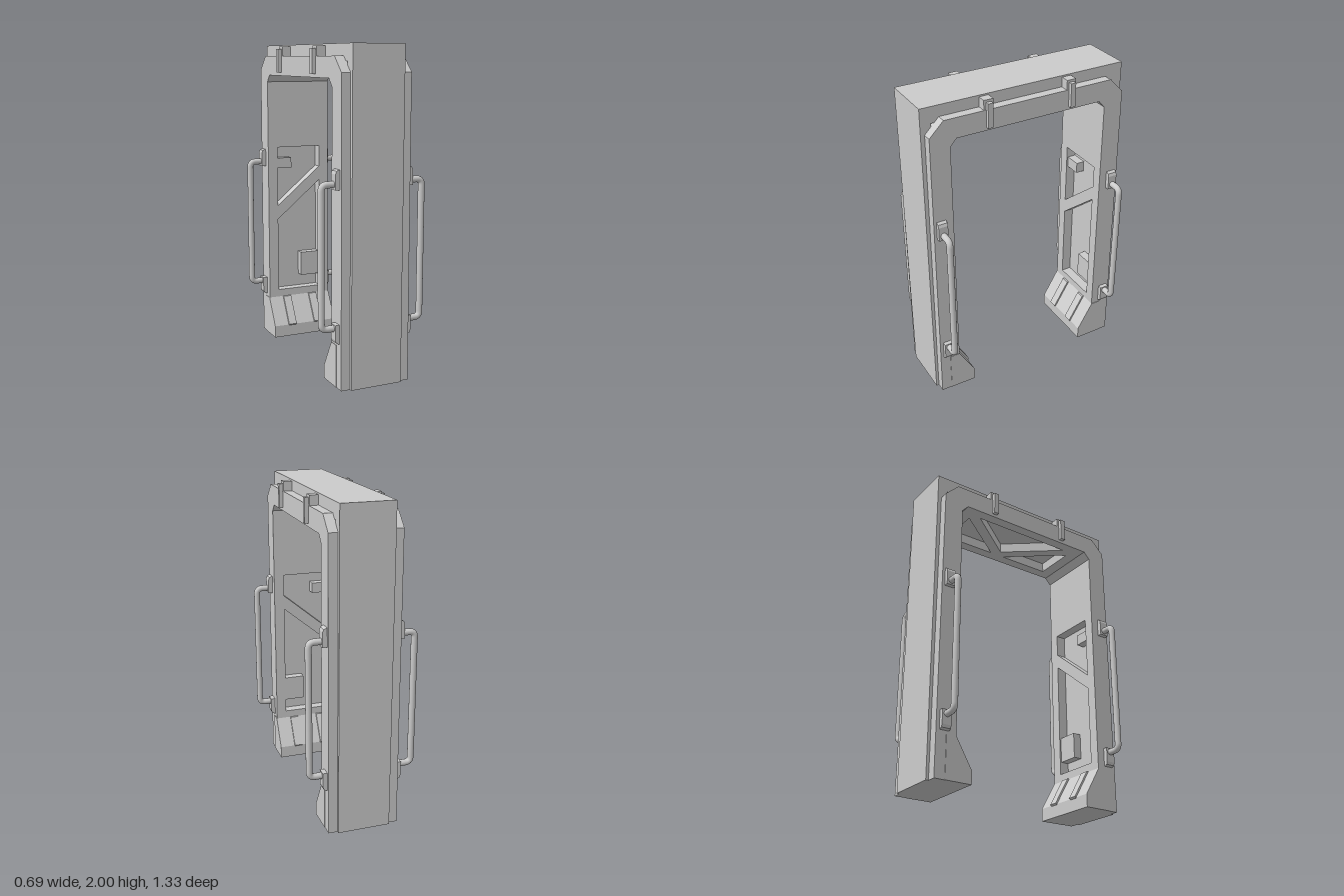
import * as THREE from 'three';

const material = new THREE.MeshStandardMaterial({ color: 0xcccccc });
const HALF = 0.222;   // half width of the wide frame
const DEPTH = 0.065;  // depth of the recesses

const toShape = (pts) => new THREE.Shape(pts.map(([a, b]) => new THREE.Vector2(a, b)));

function extrude(pts, depth, holes = []) {
  const shape = toShape(pts);
  holes.forEach((h) => shape.holes.push(toShape(h)));
  return new THREE.ExtrudeGeometry(shape, { depth, bevelEnabled: false });
}

// Profile given in (z, y), extruded across x and centred
function across(pts, halfWidth) {
  return extrude(pts, halfWidth * 2).translate(0, 0, -halfWidth).rotateY(-Math.PI / 2);
}

// Adds the other half of an arch from its +z half
const mirrored = (half) => [...half, ...half.slice().reverse().map(([z, y]) => [-z, y])];

export function createModel() {
  const model = new THREE.Group();
  model.name = 'doorFrame';

  const add = (name, geometry, x = 0, y = 0, z = 0, parent = model) => {
    const mesh = new THREE.Mesh(geometry, material);
    mesh.name = name;
    mesh.position.set(x, y, z);
    parent.add(mesh);
    return mesh;
  };
  const box = (name, x0, x1, y0, y1, z0, z1) =>
    add(name, new THREE.BoxGeometry(x1 - x0, y1 - y0, z1 - z0), (x0 + x1) / 2, (y0 + y1) / 2, (z0 + z1) / 2);

  // Narrow outer arch and wide inner arch
  add('outerArch', across(mirrored([[0.6, 1.9], [0.6, 0], [0.665, 0], [0.665, 2]]), 0.165));
  add('wideArch', across(mirrored([
    [0.58, 1.87], [0.58, 0], [0.648, 0], [0.64, 1.84], [0.55, 1.93],
  ]), HALF));

  // Ceiling liner with a V of braces between its recesses
  const sideRecess = (s) => [[0.155, 0.05 * s], [0.155, 0.4 * s], [-0.115, 0.4 * s]];
  const ceiling = extrude(
    [[-HALF, -0.475], [HALF, -0.475], [HALF, 0.475], [-HALF, 0.475]], DEPTH,
    [sideRecess(1), sideRecess(-1), [[0.11, 0], [-0.155, 0.34], [-0.155, -0.34]]],
  ).rotateX(Math.PI / 2);
  add('ceilingLiner', ceiling, 0, 1.87, 0);

  // Pillar liner with a diagonal brace
  const liner = extrude(
    [[-HALF, 0], [HALF, 0], [HALF, 1.76], [-HALF, 1.76]], DEPTH,
    [
      [[-0.155, 0.31], [0.155, 0.31], [0.155, 1.075], [-0.155, 0.815]],
      [[-0.155, 0.91], [0.155, 1.17], [0.155, 1.315], [-0.155, 1.315]],
    ],
  );
  const corner = across([[0.58, 1.76], [0.515, 1.76], [0.475, 1.805], [0.475, 1.87], [0.58, 1.87]], HALF);
  const foot = across([[0.58, 0], [0.41, 0], [0.41, 0.08], [0.515, 0.26], [0.58, 0.26]], 0.225);
  const strip = across([[0.515, 0.26], [0.502, 0.26], [0.4, 0.085], [0.415, 0.07], [0.53, 0.25]], 0.028);

  for (const s of [1, -1]) {
    const turn = s > 0 ? 0 : Math.PI;
    add('pillarLiner', liner, 0, 0, s > 0 ? 0.515 : -0.515 - DEPTH);
    add('cornerBrace', corner).rotation.y = turn;
    add('foot', foot).rotation.y = turn;
    for (const x of [-0.096, 0.096]) add('footStrip', strip, x).rotation.y = turn;

    // Boxes inside the pillar recess
    const zs = [0.525 * s, 0.585 * s].sort((a, b) => a - b);
    box('lowerBox', 0.02, 0.158, 0.395, 0.56, ...zs);
    box('upperBox', -0.158, -0.05, 1.17, 1.24, ...zs);
  }

  // Handle and mounts, built for the +x side
  const handlePath = new THREE.CurvePath();
  const v = (x, y) => new THREE.Vector3(x, y, 0);
  const pts = [v(0.21, 0.37), v(0.29, 0.37), v(0.325, 0.37), v(0.325, 0.405),
    v(0.325, 1.18), v(0.325, 1.215), v(0.29, 1.215), v(0.21, 1.215)];
  handlePath.add(new THREE.LineCurve3(pts[0], pts[1]));
  handlePath.add(new THREE.QuadraticBezierCurve3(pts[1], pts[2], pts[3]));
  handlePath.add(new THREE.LineCurve3(pts[3], pts[4]));
  handlePath.add(new THREE.QuadraticBezierCurve3(pts[4], pts[5], pts[6]));
  handlePath.add(new THREE.LineCurve3(pts[6], pts[7]));
  const handle = new THREE.TubeGeometry(handlePath, 120, 0.02, 16, false);
  const mount = extrude([
    [0.2, -0.055], [0.25, -0.055], [0.25, 0.035], [0.243, 0.053], [0.228, 0.06], [0.2, 0.06],
  ], 0.06).translate(0, 0, -0.03);

  for (const side of [1, -1]) {
    for (const z of [0.595, -0.595]) {
      const group = new THREE.Group();
      group.name = 'handle';
      group.position.z = z;
      group.rotation.y = side > 0 ? 0 : Math.PI;
      add('handleBar', handle, 0, 0, 0, group);
      add('upperMount', mount, 0, 1.24, 0, group);
      add('lowerMount', mount, 0, 0.34, 0, group).rotation.x = Math.PI;
      model.add(group);
    }

    // Clips along the top edge
    for (const z of [0.272, -0.272]) {
      const xs = (a, b) => (side > 0 ? [a, b] : [-b, -a]);
      box('clipBlock', ...xs(0.15, 0.22), 1.91, 1.99, z - 0.03, z + 0.03);
      box('clipTab', ...xs(0.2, 0.245), 1.825, 1.975, z - 0.016, z + 0.016);
    }
  }
  return model;
}
